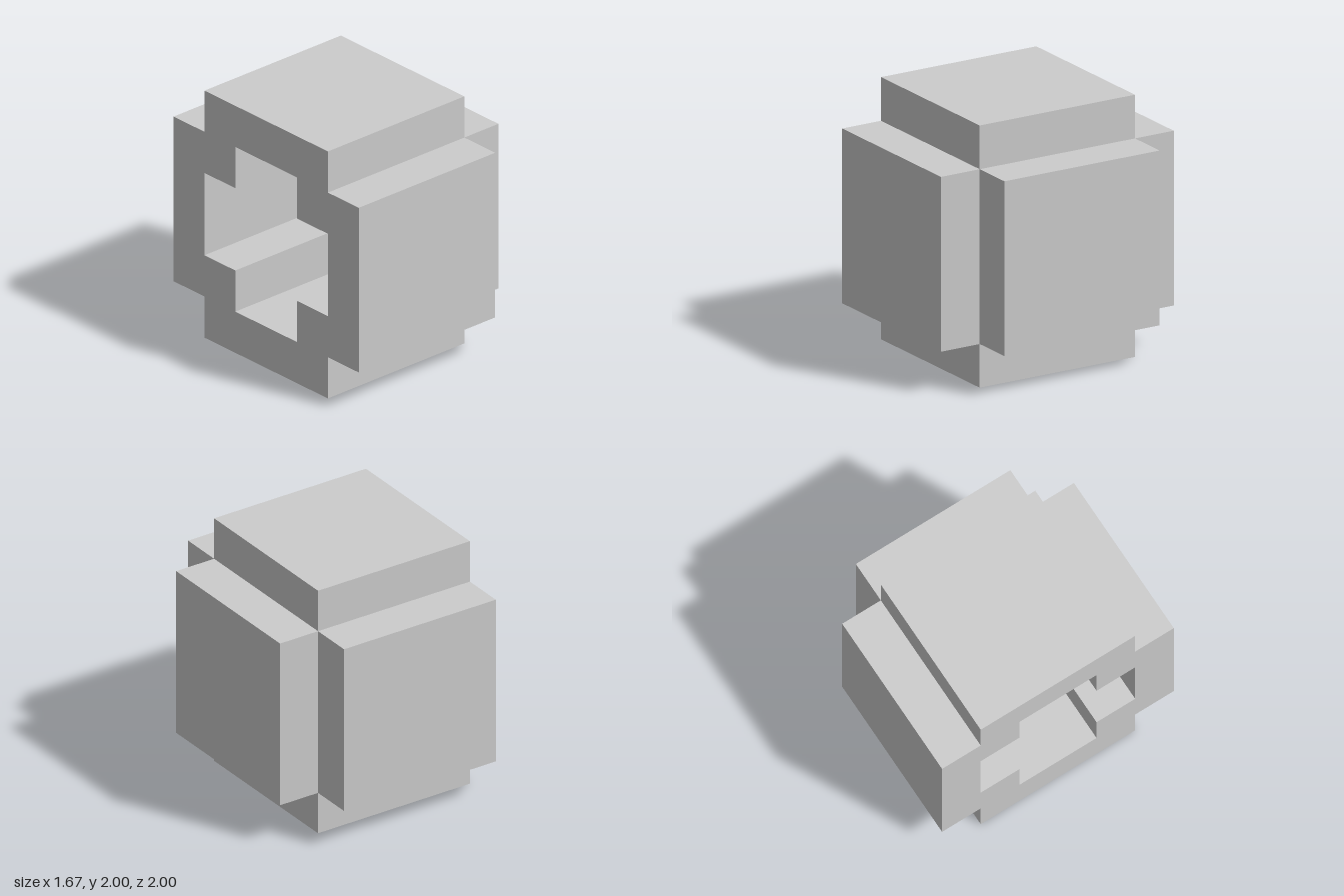
import * as THREE from 'three';

const U = 1 / 3; // block unit
const X0 = -2.5 * U; // open face

// Corners of a plus sign with the given arm reach and half width
function plusPoints(reach, half) {
  const pts = [];
  for (let i = 0; i < 4; i++) {
    const c = Math.round(Math.cos(i * Math.PI / 2)), s = Math.round(Math.sin(i * Math.PI / 2));
    for (const [x, y] of [[reach, -half], [reach, half], [half, half]]) {
      pts.push(new THREE.Vector2((x * c - y * s) * U, (x * s + y * c) * U));
    }
  }
  return pts;
}

export function createModel() {
  const group = new THREE.Group();
  const material = new THREE.MeshStandardMaterial({ color: 0xcccccc, flatShading: true });

  const add = (name, geometry, x, y, z) => {
    const mesh = new THREE.Mesh(geometry, material);
    mesh.name = name;
    mesh.position.set(x, y, z);
    group.add(mesh);
  };

  // Plus-shaped tube running along x, open on the -x side
  const shape = new THREE.Shape(plusPoints(3, 2));
  shape.holes.push(new THREE.Path(plusPoints(2, 1)));
  const shell = new THREE.ExtrudeGeometry(shape, { depth: 4 * U, bevelEnabled: false });
  shell.rotateY(Math.PI / 2);
  add('shell', shell, X0, 1, 0);

  // Blocks that close the inner ends of the four cavity arms
  for (const s of [-1, 1]) {
    add('cavityEndBlock', new THREE.BoxGeometry(U, U, 2 * U), X0 + 3.5 * U, 1 + s * 1.5 * U, 0);
    add('cavityEndBlock', new THREE.BoxGeometry(U, 2 * U, U), X0 + 3.5 * U, 1, s * 1.5 * U);
  }

  // Raised square panel that closes the +x side
  add('endPanel', new THREE.BoxGeometry(U, 4 * U, 4 * U), X0 + 4.5 * U, 1, 0);

  return group;
}
